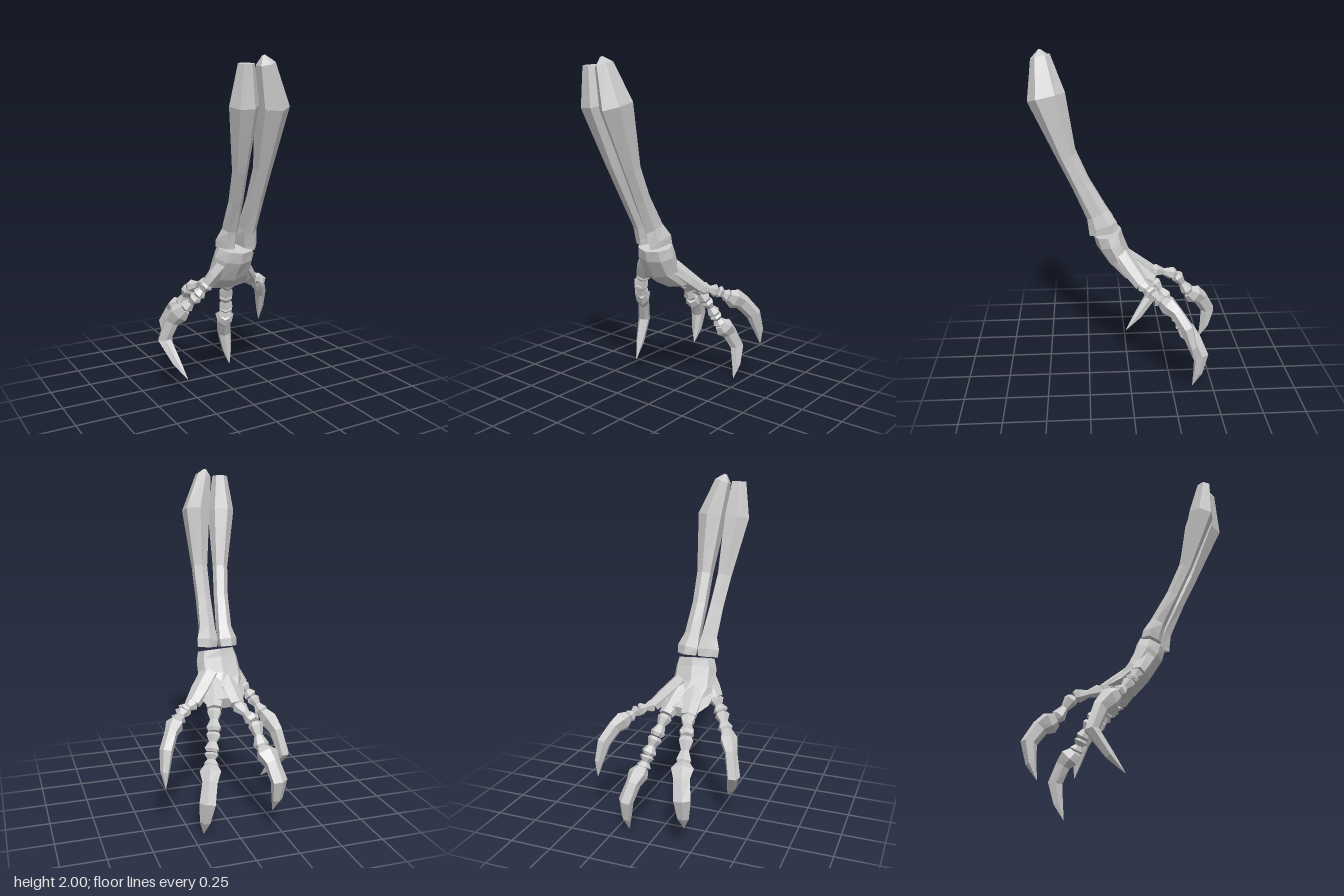
import * as THREE from 'three';

const material = new THREE.MeshStandardMaterial({ color: 0xcccccc, flatShading: true });
const V = (a) => new THREE.Vector3(a[0], a[1], a[2]);

// Faceted bone through stations [x, y, z, halfWidth, halfDepth, taper].
// Width runs along "side"; taper narrows the inner face and widens the outer one.
function loft(name, stations, side, sides = 6) {
  const pos = [], index = [];
  const pts = stations.map(V);
  const last = pts.length - 1;
  const widen = sides === 6 ? 1 / Math.cos(Math.PI / 6) : 1;
  pts.forEach((p, i) => {
    const [, , , w, d, taper = 0] = stations[i];
    const t = pts[Math.min(i + 1, last)].clone().sub(pts[Math.max(i - 1, 0)]).normalize();
    const n = t.clone().cross(side).normalize();
    const s = n.clone().cross(t);
    for (let j = 0; j < sides; j++) {
      const a = Math.PI / 2 + (j / sides) * Math.PI * 2;
      const q = p.clone()
        .addScaledVector(s, Math.cos(a) * w * widen * (1 - taper * Math.sin(a)))
        .addScaledVector(n, Math.sin(a) * d);
      pos.push(q.x, q.y, q.z);
    }
  });
  for (let i = 0; i < last; i++) {
    for (let j = 0; j < sides; j++) {
      const a = i * sides + j, b = i * sides + (j + 1) % sides;
      index.push(a, b, b + sides, a, b + sides, a + sides);
    }
  }
  const end = last * sides;
  for (let j = 1; j < sides - 1; j++) {
    index.push(0, j + 1, j, end, end + j, end + j + 1);
  }
  const indexed = new THREE.BufferGeometry();
  indexed.setAttribute('position', new THREE.Float32BufferAttribute(pos, 3));
  indexed.setIndex(index);
  const geometry = indexed.toNonIndexed();
  geometry.computeVertexNormals();
  const mesh = new THREE.Mesh(geometry, material);
  mesh.name = name;
  return mesh;
}

// Finger bone with blocky knuckles and a narrow waist: [position along, radius]
const knuckles = [[0.02, 0.03], [0.16, 0.04], [0.5, 0.022], [0.84, 0.041], [0.98, 0.03]];
function fingerBone(a, b, side) {
  return loft('fingerBone', knuckles.map(([t, r]) => [...a.clone().lerp(b, t).toArray(), r, r]), side);
}

// Curved claw with a flared heel and broad back: [position along, half width, half depth]
const clawShape = [[0, 0.03, 0.04], [0.1, 0.048, 0.062], [0.24, 0.034, 0.048], [0.5, 0.036, 0.045], [0.78, 0.024, 0.029], [1, 0.002, 0.002]];
function claw(points, side, breadth) {
  const curve = new THREE.CatmullRomCurve3(points);
  return loft('claw', clawShape.map(([t, w, d]) => [...curve.getPointAt(t).toArray(), w * breadth, d, 0.3]), side);
}

// One finger: hand bone, finger bones and claw, all bending in one upright plane
function makeFinger(name, root, jointPoints, clawPoints, breadth) {
  const finger = new THREE.Group();
  finger.name = name;
  const joints = jointPoints.map(V);
  const tip = clawPoints.map(V);
  const side = tip[1].clone().sub(joints[0]).setY(0).normalize().cross(new THREE.Vector3(0, 1, 0));
  const middle = V(root).lerp(joints[0], 0.6);
  finger.add(loft('handBone', [
    [...root, 0.055, 0.05], [...middle.toArray(), 0.052, 0.042], [...jointPoints[0], 0.042, 0.036]], side));
  for (let i = 0; i < joints.length - 1; i++) finger.add(fingerBone(joints[i], joints[i + 1], side));
  finger.add(claw([joints[joints.length - 1], ...tip], side, breadth));
  return finger;
}

// Forearm shaft from elbow to wrist: [y, z, half width, half depth, taper]
const shaft = [[1.96, 0.485, 0.042, 0.055, 0], [1.75, 0.46, 0.073, 0.105, 0], [1.41, 0.355, 0.042, 0.055, 0],
  [1.235, 0.275, 0.04, 0.052, 0], [1.06, 0.185, 0.042, 0.065, 0.2], [0.99, 0.155, 0.052, 0.083, 0.45], [0.95, 0.147, 0.048, 0.085, 0.45]];
const shaftStations = (xs, depth, shift) =>
  shaft.map(([y, z, w, d, taper], i) => [xs[i], y, z + shift, w, d * depth, taper]);

export function createModel() {
  const model = new THREE.Group();
  model.name = 'skeletalForearmAndClaws';
  const across = new THREE.Vector3(1, 0, 0);

  // Two forearm bones: a slanted blade on the right, a pointed elbow on the left
  model.add(loft('rightForearmBone',
    shaftStations([-0.19, -0.187, -0.15, -0.13, -0.115, -0.12, -0.12], 0.72, -0.012), new THREE.Vector3(0.94, 0, -0.34)));
  model.add(loft('leftForearmBone', [[-0.1, 2, 0.49, 0.008, 0.008],
    ...shaftStations([-0.085, -0.028, -0.02, -0.018, -0.01, 0.002, 0.005], 1.04, 0)], across));

  // Palm below the wrist, narrower on its hollow face
  model.add(loft('palm', [
    [-0.052, 0.935, 0.127, 0.112, 0.085, 0.15], [-0.055, 0.88, 0.112, 0.128, 0.085, 0.15], [-0.06, 0.78, 0.06, 0.136, 0.075, 0.1],
    [-0.03, 0.71, -0.01, 0.158, 0.055], [-0.03, 0.67, -0.12, 0.11, 0.036]], across, 8));

  // Four fingers fanning out from the palm
  model.add(makeFinger('outerRightFinger', [-0.11, 0.85, 0.1],
    [[-0.2, 0.72, 0.055], [-0.25, 0.645, 0.02], [-0.3, 0.56, -0.045]],
    [[-0.35, 0.475, -0.12], [-0.384, 0.355, -0.168], [-0.31, 0.13, 0]], 0.9));
  model.add(makeFinger('innerRightFinger', [-0.08, 0.78, 0.04],
    [[-0.1, 0.66, -0.14], [-0.15, 0.605, -0.3], [-0.165, 0.47, -0.39]],
    [[-0.192, 0.4, -0.485], [-0.213, 0.3, -0.525], [-0.2, 0.13, -0.47]], 1.15));
  model.add(makeFinger('innerLeftFinger', [-0.01, 0.78, 0.04],
    [[0.04, 0.65, -0.14], [0.07, 0.54, -0.225], [0.1, 0.44, -0.28], [0.115, 0.37, -0.315]],
    [[0.148, 0.28, -0.4], [0.173, 0.18, -0.432], [0.18, 0, -0.38]], 1.1));
  model.add(makeFinger('outerLeftFinger', [0.01, 0.81, 0.05],
    [[0.15, 0.67, -0.07], [0.225, 0.65, -0.125], [0.27, 0.615, -0.175]],
    [[0.335, 0.555, -0.262], [0.378, 0.455, -0.32], [0.39, 0.29, -0.355]], 0.9));
  return model;
}
